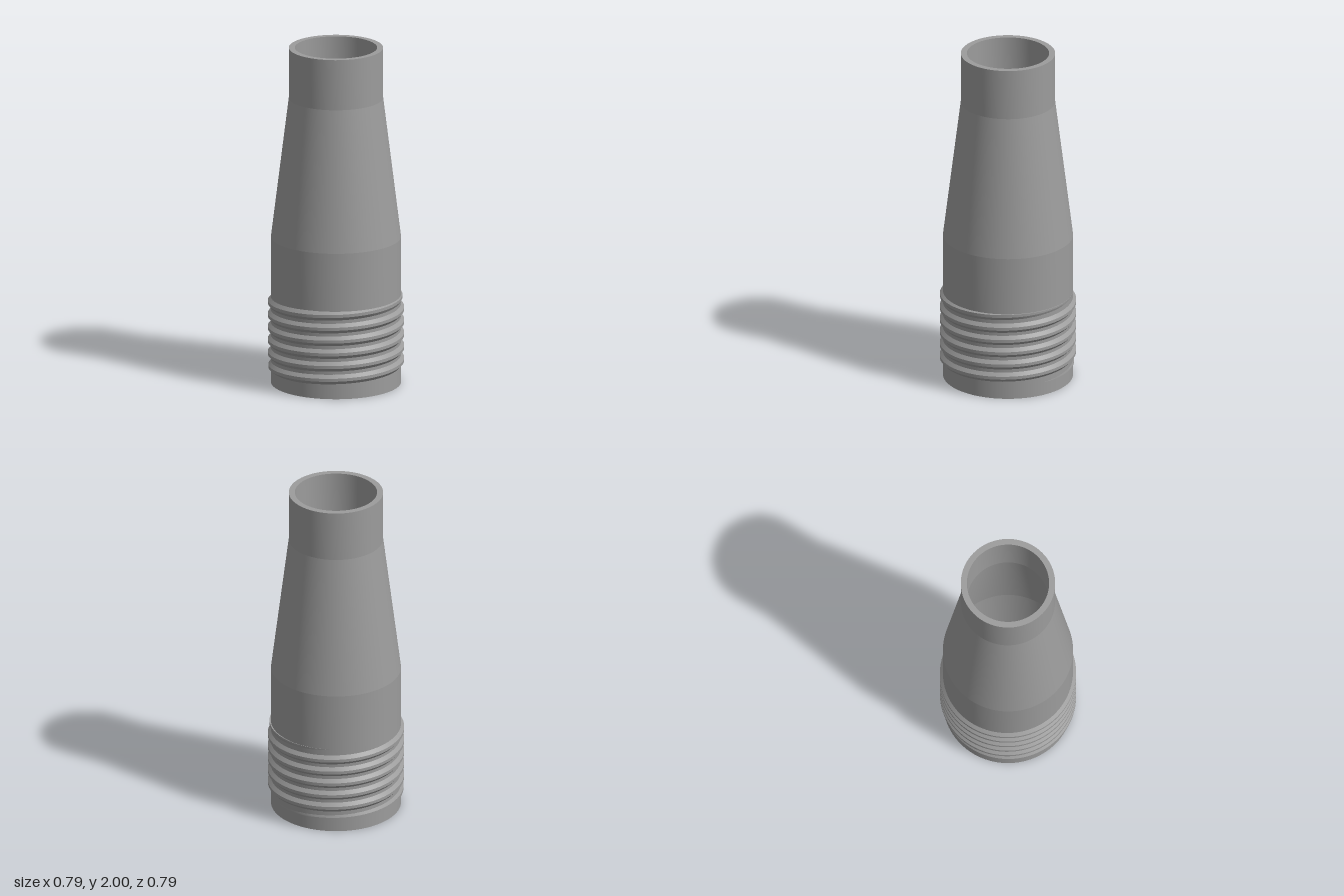
import * as THREE from 'three';
import { toCreasedNormals } from 'three/addons/utils/BufferGeometryUtils.js';

// Helical thread rib whose height fades into the wall at both ends
function threadGeometry() {
  const pitch = 0.0762, startY = 0.073, turns = 6, runOut = 0.2, perTurn = 96;
  const rootR = 0.371, crestR = 0.393;
  const section = [[-0.033, 0], [-0.009, 1], [0.009, 1], [0.033, 0]]; // y offset, height
  const steps = Math.round((turns + 2 * runOut) * perTurn);
  const positions = [], index = [];
  for (let i = 0; i <= steps; i++) {
    const t = -runOut + i / perTurn;
    const a = t * Math.PI * 2;
    const fromEnd = Math.min(t, turns - t) + runOut;
    const fade = Math.min(1, fromEnd / (0.45 + runOut));
    for (const [dy, h] of section) {
      const r = rootR + (crestR - rootR) * h * fade;
      const y = THREE.MathUtils.clamp(startY + pitch * t + dy, 0.078, 0.527);
      positions.push(r * Math.cos(a), y, -r * Math.sin(a));
    }
    if (i === steps) break;
    for (let j = 0; j < section.length - 1; j++) {
      const p = i * section.length + j, q = p + section.length;
      index.push(p, q, p + 1, q, q + 1, p + 1);
    }
  }
  const geometry = new THREE.BufferGeometry();
  geometry.setAttribute('position', new THREE.Float32BufferAttribute(positions, 3));
  geometry.setIndex(index);
  return toCreasedNormals(geometry, 0.3);
}

export function createModel() {
  const model = new THREE.Group();
  model.name = 'threadedNozzle';
  const grey = new THREE.MeshStandardMaterial({ color: 0x9c9c9c });
  grey.name = 'grey';

  // Hollow body: up the outer wall, over the rim, down the bore and closed at the base
  const profile = [
    [0.375, 0], [0.375, 0.87], [0.272, 1.7], [0.272, 2],
    [0.237, 2], [0.237, 1.7], [0.34, 0.87], [0.34, 0], [0.375, 0],
  ].map(([r, y]) => new THREE.Vector2(r, y));
  const body = new THREE.Mesh(toCreasedNormals(new THREE.LatheGeometry(profile, 96), 0.1), grey);
  body.name = 'taperedTube';

  const thread = new THREE.Mesh(threadGeometry(), grey);
  thread.name = 'screwThread';

  model.add(body, thread);
  return model;
}
